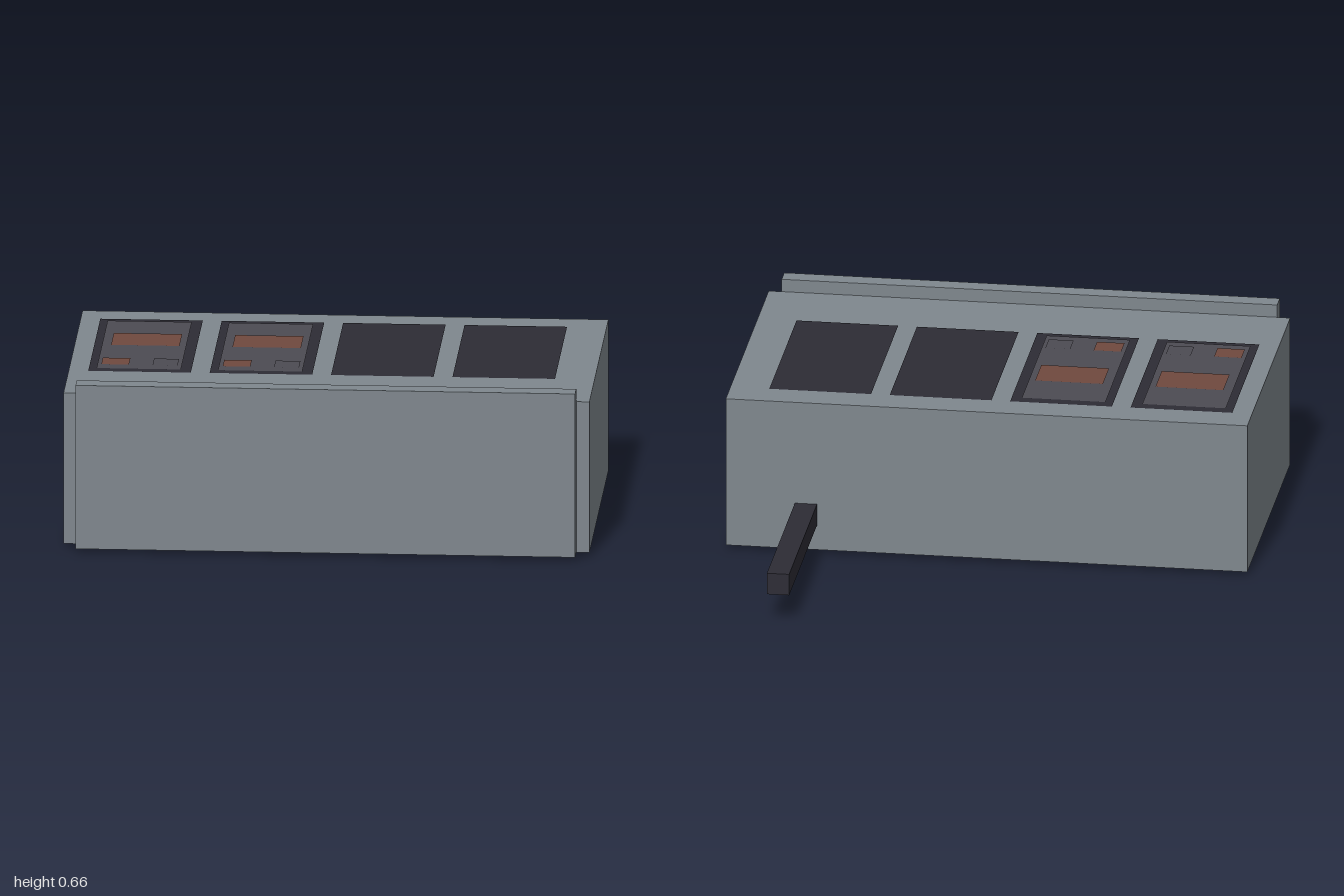
import * as THREE from 'three';

const mat = (name, color) => Object.assign(new THREE.MeshStandardMaterial({ color }), { name });

export function createModel() {
  const casing = mat('casing grey', 0x7f878e);
  const dark = mat('dark panel', 0x2d2c35);
  const plate = mat('inner plate grey', 0x4c4b53);
  const rust = mat('rust', 0x70493e);
  const green = mat('green', 0x64b56c);

  const model = new THREE.Group();
  model.name = 'cabinet';

  // solid block given by its extents
  const block = (name, m, x0, x1, y0, y1, z0, z1) => {
    const mesh = new THREE.Mesh(new THREE.BoxGeometry(x1 - x0, y1 - y0, z1 - z0), m);
    mesh.position.set((x0 + x1) / 2, (y0 + y1) / 2, (z0 + z1) / 2);
    mesh.name = name;
    model.add(mesh);
  };
  // flat horizontal face looking up (dir = 1) or down (dir = -1)
  const face = (name, m, x0, x1, z0, z1, y, dir = 1) => {
    const mesh = new THREE.Mesh(new THREE.PlaneGeometry(x1 - x0, z1 - z0), m);
    mesh.rotation.x = -dir * Math.PI / 2;
    mesh.position.set((x0 + x1) / 2, y, (z0 + z1) / 2);
    mesh.name = name;
    model.add(mesh);
  };

  // casing, front board and rear bar
  block('body', casing, -1, 1, 0.015, 0.61, -0.235, 0.91);
  block('frontBoard', casing, -0.95, 0.95, 0.015, 0.66, 0.91, 0.98);
  block('rearBar', dark, 0.65, 0.735, 0.115, 0.2, -0.98, -0.235);

  // four bays on top, the first two fitted with modules
  for (let i = 0; i < 4; i++) {
    const x = -0.925 + i * 0.4617;
    face('bay', dark, x, x + 0.39, -0.115, 0.61, 0.613);
    if (i > 1) continue;
    face('modulePlate', plate, x + 0.03, x + 0.35, -0.08, 0.58, 0.616);
    face('moduleLabel', rust, x + 0.065, x + 0.325, 0.1, 0.265, 0.619);
    face('moduleTab', rust, x + 0.045, x + 0.15, 0.445, 0.535, 0.619);
    face('moduleButton', plate, x + 0.24, x + 0.335, 0.445, 0.535, 0.619);
  }

  // underside slots and indicator plates
  for (const z of [0.135, 0.365]) face('slot', dark, -0.855, 0.85, z - 0.018, z + 0.018, 0.006, -1);
  [0.525, 0.115, -0.295, -0.705].forEach((x, i) =>
    face('indicator', i < 2 ? dark : green, x - 0.107, x + 0.107, 0.368, 0.54, 0, -1));

  return model;
}
